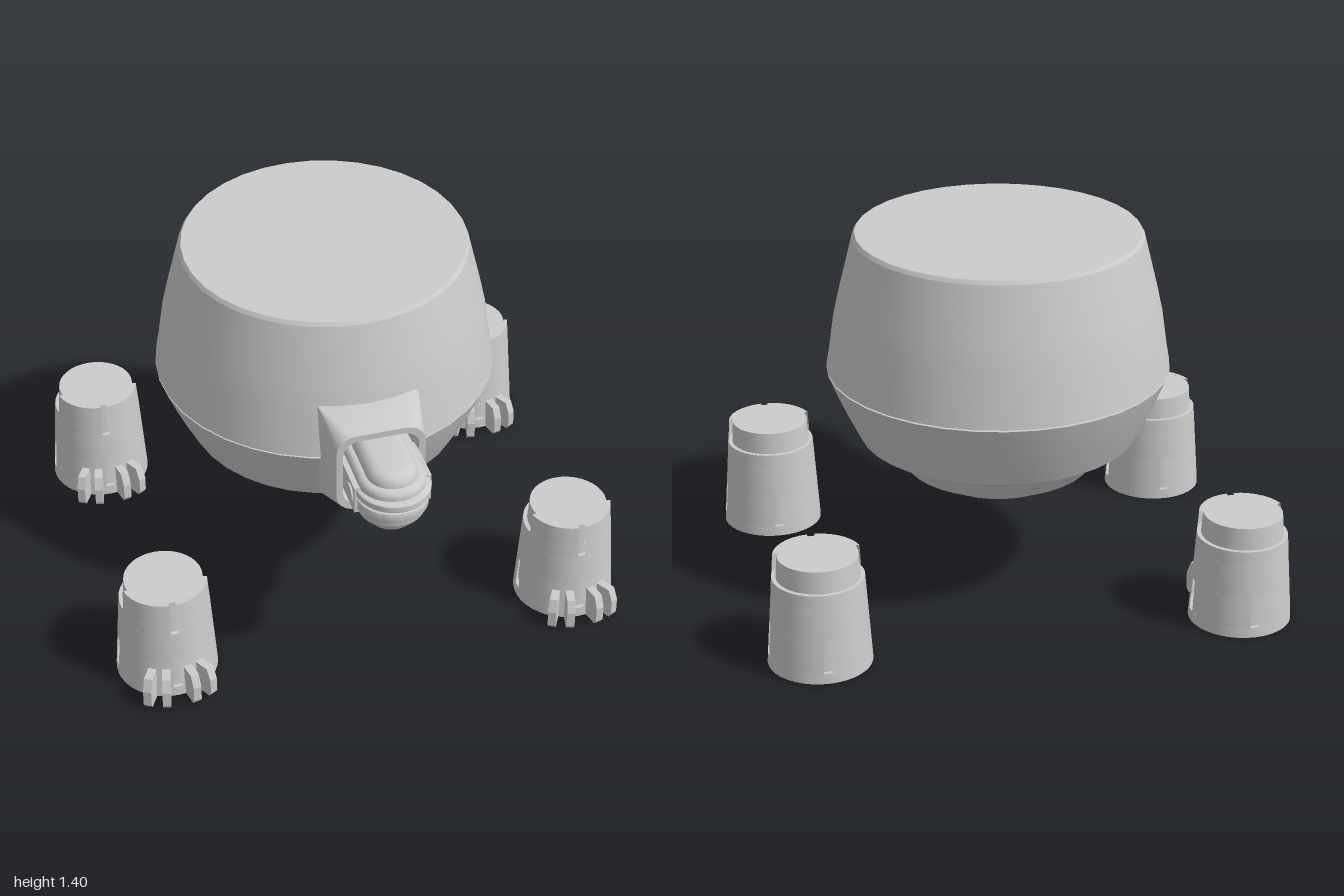
import * as THREE from 'three';
import { toCreasedNormals } from 'three/addons/utils/BufferGeometryUtils.js';

const material = new THREE.MeshStandardMaterial({ color: 0xcccccc, side: THREE.DoubleSide });

function part(parent, name, geometry, x = 0, y = 0, z = 0) {
  const mesh = new THREE.Mesh(geometry, material);
  mesh.name = name;
  mesh.position.set(x, y, z);
  parent.add(mesh);
  return mesh;
}

function lathe(points, segments, start = 0, length = Math.PI * 2, crease = 0.3) {
  const profile = points.map(([r, y]) => new THREE.Vector2(r, y));
  return toCreasedNormals(new THREE.LatheGeometry(profile, segments, start, length), crease);
}

// Rounded rectangle ring, counter-clockwise seen from +z
function ring([hw, hh, r, z]) {
  const points = [];
  for (let corner = 0; corner < 4; corner++) {
    const sx = corner === 0 || corner === 3 ? 1 : -1;
    const sy = corner < 2 ? 1 : -1;
    for (let i = 0; i <= 6; i++) {
      const a = (corner + i / 6) * Math.PI / 2;
      points.push([sx * (hw - r) + r * Math.cos(a), sy * (hh - r) + r * Math.sin(a), z]);
    }
  }
  return points;
}

// Skin over a row of rings
function loft(sections) {
  const rings = sections.map(ring), n = rings[0].length, index = [];
  for (let i = 0; i < rings.length - 1; i++) {
    for (let j = 0; j < n; j++) {
      const a = i * n + j, b = i * n + (j + 1) % n;
      index.push(a, b, b + n, a, b + n, a + n);
    }
  }
  const geometry = new THREE.BufferGeometry();
  geometry.setAttribute('position', new THREE.Float32BufferAttribute(rings.flat(2), 3));
  geometry.setIndex(index);
  return toCreasedNormals(geometry, 0.5);
}

// Horizontal slab with a round nose, ending at zEnd
function noseSlab(hw, height, zEnd, bevel) {
  const w = hw - bevel, depth = height - 2 * bevel, zc = zEnd - hw;
  const shape = new THREE.Shape();
  shape.moveTo(-w, 0.5);
  shape.lineTo(w, 0.5);
  shape.lineTo(w, zc);
  shape.absarc(0, zc, w, 0, Math.PI, false);
  shape.closePath();
  const geometry = new THREE.ExtrudeGeometry(shape, {
    depth, curveSegments: 20, bevelEnabled: true, bevelSize: bevel, bevelThickness: bevel, bevelSegments: 4
  });
  geometry.translate(0, 0, -depth / 2).rotateX(Math.PI / 2);
  return toCreasedNormals(geometry, 0.6);
}

function buildBody() {
  const body = new THREE.Group();
  body.name = 'body';
  body.position.z = -0.13;
  part(body, 'upperShell', lathe([
    [0.62, 0.868], [0.656, 0.868], [0.645, 0.93], [0.625, 1.07], [0.603, 1.17],
    [0.55, 1.385], [0.54, 1.4], [0, 1.4]
  ], 36));
  part(body, 'lowerShell', lathe([
    [0, 0.46], [0.36, 0.46], [0.43, 0.54], [0.515, 0.585], [0.535, 0.595],
    [0.58, 0.685], [0.625, 0.785], [0.656, 0.862], [0.62, 0.864]
  ], 36));
  const bowl = [];
  for (let i = 0; i <= 10; i++) {
    const a = i / 10 * Math.PI / 2;
    bowl.push([0.315 * Math.sin(a), 0.475 - 0.12 * Math.cos(a)]);
  }
  part(body, 'bottomDome', lathe(bowl, 36, 0, Math.PI * 2, 0.5));
  return body;
}

function buildHead() {
  const head = new THREE.Group();
  head.name = 'head';
  head.position.y = 0.885;
  // Square socket that becomes a rounded, hollow mouth
  part(head, 'socket', loft([
    [0.195, 0.2, 0.002, 0.4], [0.19, 0.196, 0.004, 0.48], [0.17, 0.17, 0.075, 0.64],
    [0.145, 0.145, 0.06, 0.64], [0.135, 0.135, 0.06, 0.52], [0.01, 0.01, 0.004, 0.52]
  ]));
  part(head, 'crown', noseSlab(0.095, 0.26, 0.865, 0.045));
  part(head, 'middleSlab', noseSlab(0.125, 0.17, 0.895, 0.025));
  part(head, 'upperVisorBand', noseSlab(0.138, 0.03, 0.925, 0.006), 0, 0.035);
  part(head, 'lowerVisorBand', noseSlab(0.135, 0.045, 0.91, 0.006), 0, -0.02);
  for (const side of [-1, 1]) {
    part(head, 'sidePlate', new THREE.BoxGeometry(0.025, 0.11, 0.2), side * 0.133, 0, 0.69);
    const pivot = part(head, 'pivot', new THREE.CylinderGeometry(0.038, 0.038, 0.03, 20), side * 0.137, 0, 0.74);
    pivot.rotation.z = Math.PI / 2;
  }
  return head;
}

// Outer and inner radius of the tapered foot wall
const wallOuter = y => 0.195 - 0.07 * y;
const wallInner = y => wallOuter(y) - 0.016;

function buildFoot() {
  const foot = new THREE.Group();
  foot.name = 'foot';
  const wall = (y0, y1, start, length) => part(foot, 'footWall', lathe([
    [wallInner(y0), y0], [wallOuter(y0), y0], [wallOuter(y1), y1], [wallInner(y1), y1], [wallInner(y0), y0]
  ], Math.max(4, Math.round(length * 6)), start, length));
  const full = Math.PI * 2, quarter = Math.PI / 2, gap = 0.085;

  part(foot, 'footCore', new THREE.CylinderGeometry(wallInner(0.43), wallInner(0), 0.43, 36), 0, 0.215, 0);
  wall(0, 0.04, 0, full);
  // Four low slots
  for (let i = 0; i < 4; i++) wall(0.04, 0.165, i * quarter + gap, quarter - 2 * gap);
  wall(0.165, 0.295, 0, full);
  // Front slot, then a collar around the front half only
  wall(0.295, 0.345, gap, full - 2 * gap);
  wall(0.345, 0.43, gap, 1.33 - gap);
  wall(0.345, 0.43, -1.33, 1.33 - gap);

  // Chamfered toes fanned around the front
  const profile = new THREE.Shape([
    [0.16, 0], [0.255, 0], [0.265, 0.015], [0.265, 0.08], [0.245, 0.13], [0.16, 0.13]
  ].map(([r, y]) => new THREE.Vector2(r, y)));
  for (const degrees of [-29, -13, 13, 29]) {
    const toe = new THREE.ExtrudeGeometry(profile, { depth: 0.032, bevelEnabled: false });
    toe.translate(0, 0, -0.016).rotateY(-Math.PI / 2);
    part(foot, 'toe', toe).rotation.y = THREE.MathUtils.degToRad(degrees);
  }
  return foot;
}

export function createModel() {
  const model = new THREE.Group();
  model.name = 'walker';
  model.add(buildBody(), buildHead());
  for (const x of [-0.805, 0.805]) {
    for (const z of [-0.735, 0.5]) {
      const foot = buildFoot();
      foot.position.set(x, 0, z);
      model.add(foot);
    }
  }
  return model;
}
